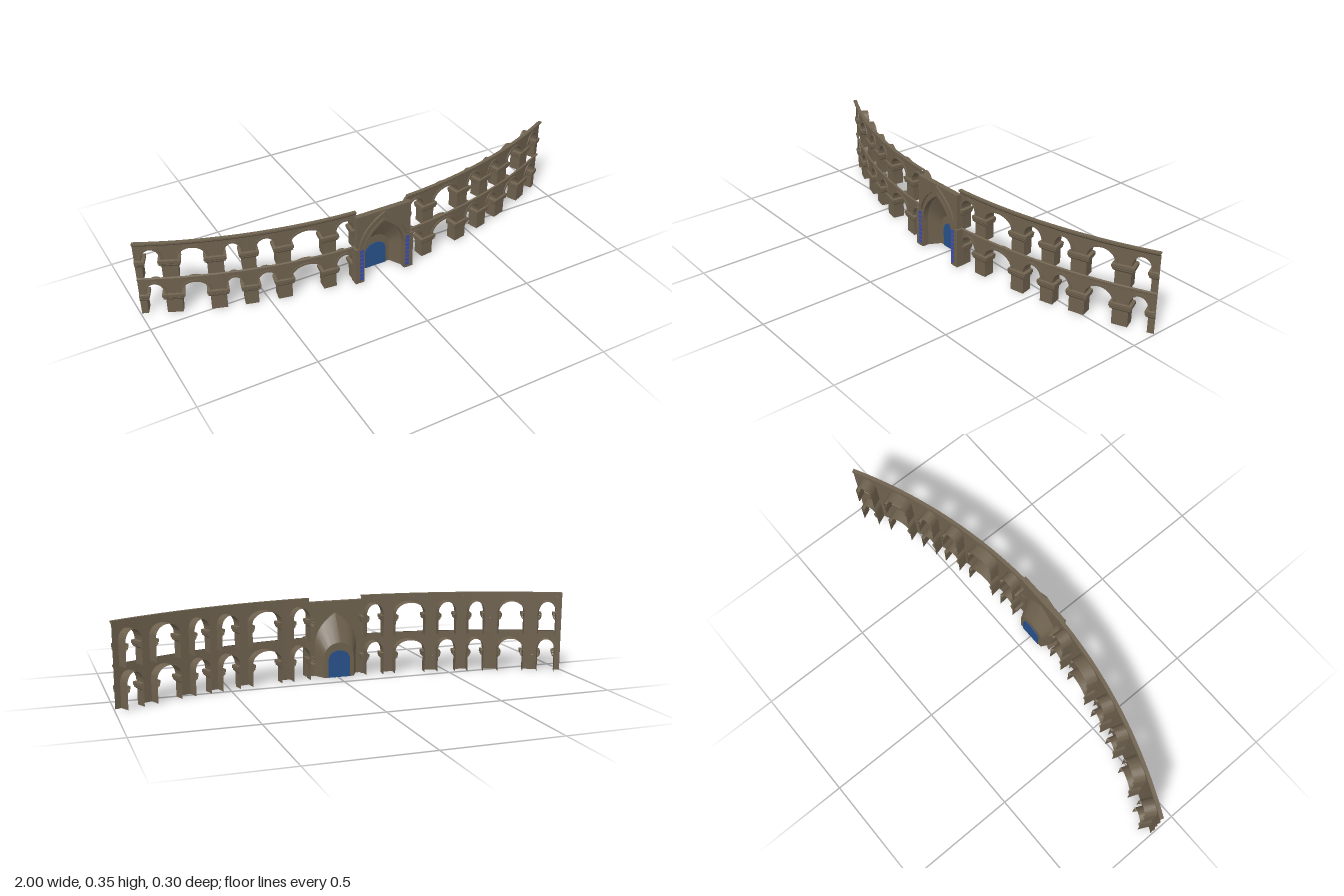
import * as THREE from 'three';
import { mergeGeometries, toCreasedNormals } from 'three/addons/utils/BufferGeometryUtils.js';

const R = 2.18, ZC = -2.055;   // plan radius and centre of the curved wall
const DEPTH = 0.05;            // depth of the jambs and vaults
const TIER = 0.17, SPRING = 0.1, RISE = 0.05, TIER_TOP = 0.175;

const paint = (name, color) => {
  const m = new THREE.MeshStandardMaterial({ color, side: THREE.DoubleSide });
  m.name = name;
  return m;
};

// Bends wall coordinates (u along, y up, d inward) onto the curve
const bend = ([u, y, d]) => {
  const a = Math.asin(u / R), r = R - d;
  return [Math.sin(a) * r, y, ZC + Math.cos(a) * r];
};
const flat = (p) => p;

// Surface through a row of sections with equal point counts
function sheet(sections, map, mirror = 1) {
  const pos = [], idx = [], n = sections[0].length;
  for (const s of sections) for (const p of s) {
    const q = map(p);
    pos.push(q[0] * mirror, q[1], q[2]);
  }
  for (let i = 0; i < sections.length - 1; i++) for (let j = 0; j < n - 1; j++) {
    const a = i * n + j, b = a + n, c = b + 1, d = a + 1;
    if (mirror > 0) idx.push(a, b, c, a, c, d);
    else idx.push(a, c, b, a, d, c);
  }
  const g = new THREE.BufferGeometry();
  g.setAttribute('position', new THREE.Float32BufferAttribute(pos, 3));
  g.setIndex(idx);
  return toCreasedNormals(g, 0.5);
}

const steps = (a, b, n) => Array.from({ length: n + 1 }, (_, i) => a + (b - a) * i / n);

// Half-ellipse from left to right, grown outward by e
const archCurve = (u0, u1, base, e = 0) => steps(Math.PI, 0, 20).map((t) => [
  (u0 + u1) / 2 + Math.cos(t) * ((u1 - u0) / 2 + e),
  base + SPRING + Math.sin(t) * (RISE + e),
]);

// Portal outline from left foot over the apex to right foot
function portal(hw, spring, apex, k) {
  const right = new THREE.QuadraticBezierCurve(
    new THREE.Vector2(hw, spring),
    new THREE.Vector2(hw, spring + (apex - spring) * k),
    new THREE.Vector2(0, apex)).getPoints(12).map((p) => [p.x, p.y]);
  const half = [[hw, 0.005], ...right];
  return [...half.map(([x, y]) => [-x, y]), ...half.slice(0, -1).reverse()];
}

function extrude(points, z, depth) {
  const shape = new THREE.Shape(points.map(([x, y]) => new THREE.Vector2(x, y)));
  const g = new THREE.ExtrudeGeometry(shape, { depth, bevelEnabled: false });
  return g.translate(0, 0, z);
}
// Frame between an outer and an inner outline, open at the foot
const frame = (outer, inner, z, depth) => extrude([...outer, ...[...inner].reverse()], z, depth);

export function createModel() {
  const stone = paint('stone', 0x6e614e);
  const doorBlue = paint('doorBlue', 0x28518a);
  const tileBlue = paint('tileBlue', 0x3a4cae);
  const model = new THREE.Group();
  const add = (name, geometry, material, parent = model) => {
    const m = new THREE.Mesh(geometry, material);
    m.name = name;
    parent.add(m);
    return m;
  };

  // Piers along one wing; the arches fill the gaps between them
  const piers = [[0.12, 0.133], [0.212, 0.268], [0.405, 0.465], [0.545, 0.6],
    [0.67, 0.733], [0.84, 0.9], [0.97, 0.995]];
  const impost = [[0.066, 0], [0.074, 0.009], [0.08, 0.009], [0.083, 0.012], [0.096, 0.012], [0.099, 0]];

  for (const side of [1, -1]) {
    const wing = new THREE.Group();
    wing.name = side > 0 ? 'leftWing' : 'rightWing';
    model.add(wing);

    for (const [level, base] of [['lower', 0], ['upper', TIER]]) {
      const wall = [], vaults = [], imposts = [], archivolts = [];
      const top = base + TIER_TOP;

      piers.forEach(([u0, u1], i) => {
        // Pier face and its impost moulding wrapping into the openings
        wall.push(sheet(steps(u0, u1, 2).map((u) => [[u, base, 0], [u, top, 0]]), bend, side));
        const last = i === piers.length - 1;
        const ring = (o) => {
          const end = last ? u1 : u1 + o;
          return [[u0 - o, DEPTH], [u0 - o, -o * 0.7], [end, -o * 0.7], [end, last ? 0 : DEPTH]];
        };
        imposts.push(sheet([0, 1, 2, 3].map((c) => impost.map(([y, o]) => {
          const [u, d] = ring(o)[c];
          return [u, base + y, d];
        })), bend, side));
        if (last) return;

        // Opening: spandrel above, jambs and vault behind, raised archivolt
        const a = u1, b = piers[i + 1][0];
        const curve = archCurve(a, b, base), rim = archCurve(a, b, base, 0.009);
        wall.push(sheet(curve.map(([u, y]) => [[u, y, 0], [u, top, 0]]), bend, side));
        const contour = [[a, base], ...curve, [b, base]];
        vaults.push(sheet(contour.map(([u, y]) => [[u, y, DEPTH], [u, y, 0]]), bend, side));
        archivolts.push(sheet(curve.map(([u, y], k) => [
          [u, y, 0], [u, y, -0.004], [...rim[k], -0.004], [...rim[k], 0],
        ]), bend, side));
      });

      add(level + 'Wall', mergeGeometries(wall), stone, wing);
      add(level + 'Vaults', mergeGeometries(vaults), stone, wing);
      add(level + 'Imposts', mergeGeometries(imposts), stone, wing);
      add(level + 'Archivolts', mergeGeometries(archivolts), stone, wing);
    }

    // String course and cornice swept along the wing
    const course = (name, profile) => add(name, sheet(
      steps(0.122, 0.995, 24).map((u) => profile.map(([y, o]) => [u, y, -o])), bend, side), stone, wing);
    course('stringCourse', [[0.168, 0], [0.173, 0.007], [0.179, 0.007], [0.182, 0]]);
    course('cornice', [[0.338, 0], [0.344, 0.005], [0.348, 0.01], [0.355, 0.01], [0.355, -0.006], [0.345, -0.006]]);
  }

  // Gateway: panel, pointed mouldings and splayed recess
  const gate = new THREE.Group();
  gate.name = 'gateway';
  model.add(gate);
  const mouth = portal(0.097, 0.13, 0.285, 0.62);
  const throat = portal(0.068, 0.09, 0.16, 0.9);
  const slab = [[-0.13, 0.005], [-0.13, 0.335], [0.13, 0.335], [0.13, 0.005]];
  add('gatePanel', frame(slab, mouth, 0.122, 0.024), stone, gate);
  add('outerMoulding', frame(portal(0.124, 0.16, 0.333, 0.62), portal(0.11, 0.15, 0.312, 0.62), 0.14, 0.015), stone, gate);
  add('innerMoulding', frame(portal(0.104, 0.138, 0.298, 0.62), mouth, 0.14, 0.01), stone, gate);
  add('splayedRecess', sheet(mouth.map(([x, y], i) => [[...throat[i], 0.07], [x, y, 0.124]]), flat), stone, gate);
  add('recessBackWall', extrude(throat, 0.069, 0.003), stone, gate);
  add('door', extrude(portal(0.05, 0.075, 0.125, 0.95), 0.066, 0.009), doorBlue, gate);

  // Pilasters with blue tile inlays beside the recess
  for (const s of [1, -1]) {
    add('pilaster', new THREE.BoxGeometry(0.04, 0.175, 0.035), stone, gate).position.set(s * 0.12, 0.0925, 0.1365);
    for (let i = 0; i < 8; i++) {
      add('tileInlay', new THREE.BoxGeometry(0.018, 0.015, 0.004), tileBlue, gate)
        .position.set(s * 0.112, 0.026 + i * 0.02, 0.154);
    }
  }
  return model;
}
